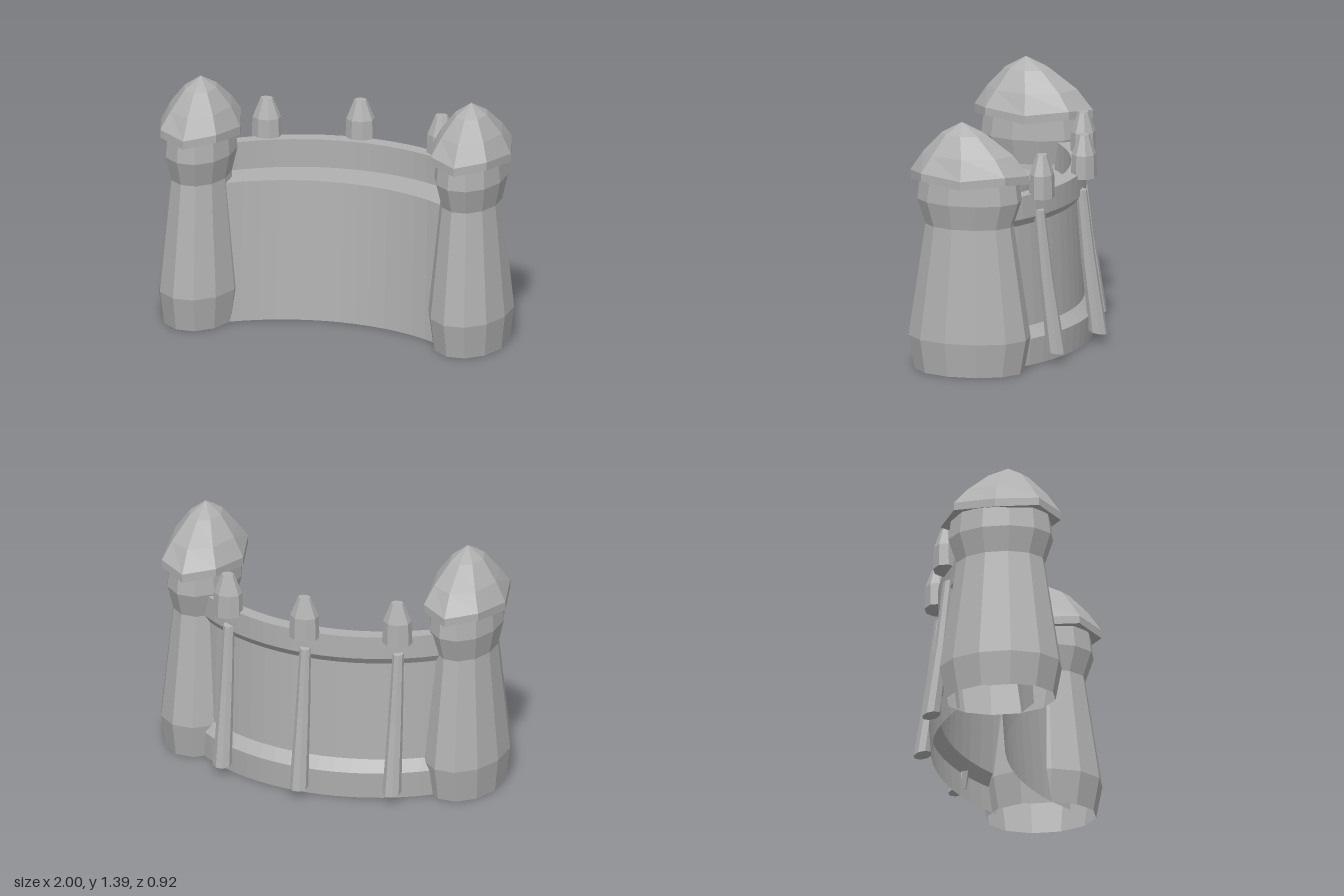
import * as THREE from 'three';

const stone = new THREE.MeshStandardMaterial({ color: 0xb0b0b0, flatShading: true, side: THREE.DoubleSide });
stone.name = 'grey stone';

// Builds a skin over rows of points; every row has the same length
function skin(name, rows) {
  const n = rows[0].length, pos = rows.flat(2), index = [];
  for (let i = 0; i < rows.length - 1; i++) {
    for (let j = 0; j < n - 1; j++) {
      const a = i * n + j, b = a + n;
      index.push(a, a + 1, b, b, a + 1, b + 1);
    }
  }
  const g = new THREE.BufferGeometry();
  g.setAttribute('position', new THREE.Float32BufferAttribute(pos, 3));
  g.setIndex(index);
  g.computeVertexNormals();
  const mesh = new THREE.Mesh(g, stone);
  mesh.name = name;
  return mesh;
}

// One closed ring of an oval: rx across, rz deep, y may vary with the angle
function ring(sides, rx, rz, y, { turn = 0, cx = 0, cz = 0, wave = 0 } = {}) {
  return Array.from({ length: sides + 1 }, (_, i) => {
    const a = ((i % sides) / sides) * Math.PI * 2 + turn;
    return [cx + rx * Math.sin(a), y - wave * Math.cos(4 * a), cz + rz * Math.cos(a)];
  });
}

function makeTower() {
  const tower = new THREE.Group();
  // Waisted oval shaft, open underneath
  const shaft = [[0.203, 0], [0.226, 0.19], [0.163, 0.82], [0.194, 0.96], [0.18, 1.12]];
  tower.add(skin('towerShaft', shaft.map(([r, y]) =>
    ring(12, r, r * 1.51, y, { turn: Math.PI / 12 }))));
  // Domed roof with a wavy rim and an off-centre peak
  tower.add(skin('towerRoof', [
    ring(8, 0.165, 0.25, 1.085),
    ring(8, 0.226, 0.333, 1.072, { wave: 0.012 }),
    ring(8, 0.226, 0.333, 1.118, { wave: 0.01 }),
    ring(8, 0.172, 0.252, 1.22, { cx: 0.004, cz: 0.006 }),
    ring(8, 0.09, 0.126, 1.33, { cx: 0.008, cz: 0.03 }),
    ring(8, 0, 0, 1.395, { cx: 0.012, cz: 0.04 }),
  ]));
  return tower;
}

// Backward bow of the wall at a given x
const bow = (x) => 1.1 - Math.sqrt(1.1 * 1.1 - x * x);

function makeWall() {
  // Cross-section at the middle as [z, y]: sloped front, walkway, parapet, footing
  const section = [
    [0.055, 0], [0, 0.79], [-0.23, 0.79], [-0.23, 0.95], [-0.315, 0.95],
    [-0.315, 0.82], [-0.285, 0.78], [-0.305, 0.21], [-0.365, 0.15], [-0.355, 0],
  ];
  const rows = [];
  for (let i = 0; i <= 16; i++) {
    const x = -0.7 + (1.4 * i) / 16;
    rows.push(section.map(([z, y]) => [x, y, z + bow(x)]));
  }
  return skin('curvedWall', rows.reverse());
}

function makeMerlon() {
  // Eight-sided stub with a blunt pointed cap
  const t = Math.PI / 8;
  const profile = [[0, 0.925], [0.085, 0.925], [0.08, 1.055], [0.035, 1.165], [0, 1.165]];
  return skin('merlon', profile.map(([r, y]) => ring(8, r, r * 0.84, y, { turn: t })));
}

function makeBrace() {
  // Leaning tapered prop with a slight bend; ends are cut square to the lean
  const stations = [[0, 0.055, -0.075], [0.052, 0.055, -0.075], [0.041, 0.47, -0.02],
    [0.031, 0.855, 0.02], [0, 0.855, 0.02]];
  return skin('wallBrace', stations.map(([r, y, cz]) =>
    ring(8, r, r, y, { turn: Math.PI / 8, cz }).map(([x, py, z]) => [x, py + (z - cz) * 0.17, z])));
}

export function createModel() {
  const model = new THREE.Group();
  model.name = 'castleWall';
  model.add(makeWall());

  // Corner towers
  for (const [name, x] of [['rightTower', -0.774], ['leftTower', 0.774]]) {
    const tower = makeTower();
    tower.name = name;
    tower.position.set(x, 0, 0.133);
    model.add(tower);
  }

  // Merlons along the parapet, each with a prop behind
  for (const x of [-0.5, 0, 0.5]) {
    const shift = bow(x);
    const merlon = makeMerlon();
    merlon.position.set(x, 0, -0.33 + shift);
    const brace = makeBrace();
    brace.position.set(x, 0, -0.335 + shift);
    model.add(merlon, brace);
  }
  return model;
}
